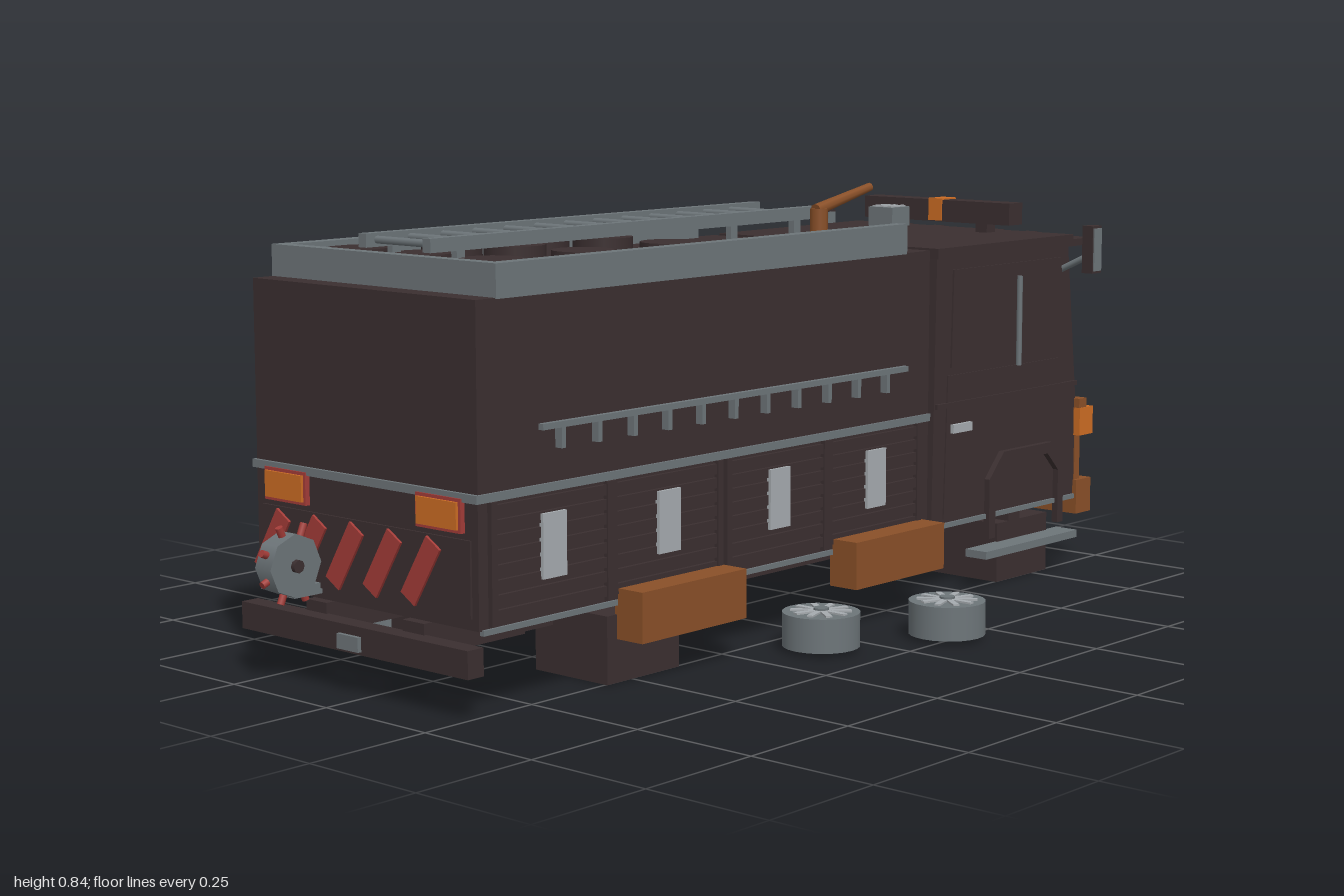
import * as THREE from 'three';

const mat = (name, color) => Object.assign(new THREE.MeshStandardMaterial({ color }), { name });

export function createModel() {
  const dark = mat('charcoal', 0x3b2f30), grey = mat('steel grey', 0x6d7579), pale = mat('pale grey', 0xa6abaf);
  const brown = mat('rust brown', 0x8a5028), orange = mat('lamp orange', 0xcc6c24), red = mat('red', 0xa33c38);

  const root = new THREE.Group();
  const truck = new THREE.Group();
  truck.name = 'truck';
  truck.position.x = -0.035;
  root.add(truck);

  const add = (name, geo, m, x, y, z, parent = truck) => {
    const mesh = new THREE.Mesh(geo, m);
    mesh.name = name;
    mesh.position.set(x, y, z);
    parent.add(mesh);
    return mesh;
  };
  // Box given by its limits on each axis
  const box = (name, m, x0, x1, y0, y1, z0, z1) =>
    add(name, new THREE.BoxGeometry(x1 - x0, y1 - y0, z1 - z0), m, (x0 + x1) / 2, (y0 + y1) / 2, (z0 + z1) / 2);
  // The same box on both sides
  const pair = (name, m, x0, x1, ...r) => {
    box(name + 'Left', m, x0, x1, ...r);
    box(name + 'Right', m, -x1, -x0, ...r);
  };
  // Side profile of [z, y] points extruded across x, from x0 to x1
  const profile = (name, m, pts, x0, x1, hole) => {
    const s = new THREE.Shape(pts.map(p => new THREE.Vector2(...p)));
    if (hole) s.holes.push(new THREE.Path(hole.map(p => new THREE.Vector2(...p))));
    const g = new THREE.ExtrudeGeometry(s, { depth: x1 - x0, bevelEnabled: false });
    g.rotateY(-Math.PI / 2);
    return add(name, g, m, x1, 0, 0);
  };
  // Straight bar between two points
  const bar = (name, m, a, b, r, r2 = r) => {
    const A = new THREE.Vector3(...a), B = new THREE.Vector3(...b);
    const d = B.clone().sub(A);
    const mesh = add(name, new THREE.CylinderGeometry(r2, r, d.length(), 8), m, 0, 0, 0);
    mesh.position.copy(A).add(B).multiplyScalar(0.5);
    mesh.quaternion.setFromUnitVectors(new THREE.Vector3(0, 1, 0), d.normalize());
    return mesh;
  };

  // Chassis
  pair('chassisRail', dark, 0.1, 0.155, 0.09, 0.145, -0.9, 0.88);
  for (const [z0, z1] of [[-0.8, -0.62], [0.375, 0.565]]) pair('wheelBlock', dark, 0.11, 0.29, 0, 0.125, z0, z1);
  pair('sillStrip', grey, 0.284, 0.293, 0.142, 0.152, -0.9, 0.87);
  box('rearBumper', dark, -0.297, 0.297, 0.075, 0.125, 0.875, 0.912);
  box('rearPlate', grey, -0.028, 0.028, 0.081, 0.108, 0.912, 0.92);
  bar('airTank', grey, [-0.225, 0.105, 0.2], [-0.225, 0.105, 0.36], 0.045);

  // Equipment body
  box('body', dark, -0.288, 0.288, 0.15, 0.714, -0.377, 0.876);
  box('waistStripe', grey, -0.293, 0.293, 0.37, 0.385, -0.378, 0.883);
  pair('roofRail', grey, 0.262, 0.29, 0.712, 0.772, -0.3, 0.83);
  box('rearRoofRail', grey, -0.27, 0.27, 0.712, 0.772, 0.805, 0.83);
  for (const x of [-0.21, -0.04, 0.135]) for (const z of [0.225, 0.46, 0.69])
    add('roofHatch', new THREE.CylinderGeometry(0.058, 0.058, 0.05, 16), dark, x, 0.737, z);

  // Roller shutters with pale handles
  for (const z of [0.705, 0.41, 0.1, -0.195]) {
    for (let i = 0; i < 8; i++) pair('shutterSlat', dark, 0.287, 0.295, 0.163 + i * 0.026, 0.182 + i * 0.026, z - 0.135, z + 0.135);
    for (const e of [-0.142, 0.142]) pair('shutterFrame', dark, 0.287, 0.298, 0.155, 0.37, z + e - 0.007, z + e + 0.007);
    pair('shutterHandle', pale, 0.292, 0.301, 0.22, 0.335, z - 0.029, z + 0.029);
  }

  // Side lockers
  for (const [z0, z1] of [[-0.35, -0.068], [0.258, 0.54]]) pair('locker', brown, 0.286, 0.352, 0.08, 0.173, z0, z1);

  // Pegged side rail
  box('sideRail', grey, 0.296, 0.307, 0.481, 0.492, -0.285, 0.738);
  for (let i = 0; i < 11; i++) {
    const z = 0.685 - i * 0.091;
    box('railPeg', grey, 0.287, 0.304, 0.444, 0.484, z - 0.005, z + 0.005);
  }

  // Roof ladder
  pair('ladderRail', grey, 0.073, 0.093, 0.775, 0.8, -0.277, 0.795);
  for (let i = 0; i < 13; i++) bar('ladderRung', grey, [-0.08, 0.788, -0.185 + i * 0.0795], [0.08, 0.788, -0.185 + i * 0.0795], 0.007);
  for (const z of [-0.2, 0.72]) pair('ladderFoot', grey, 0.076, 0.09, 0.712, 0.78, z - 0.01, z + 0.01);

  // Water monitor
  bar('monitorBase', brown, [0.138, 0.71, -0.21], [0.138, 0.8, -0.21], 0.018);
  bar('monitorBarrel', brown, [0.138, 0.797, -0.2], [0.138, 0.835, -0.372], 0.013, 0.009);

  // Rear face: lamps and slanted stripes
  for (const s of [-1, 1]) {
    box('rearLampFrame', red, s * 0.2 - 0.056, s * 0.2 + 0.056, 0.316, 0.376, 0.874, 0.886);
    box('rearLamp', orange, s * 0.2 - 0.05, s * 0.2 + 0.05, 0.322, 0.37, 0.885, 0.891);
  }
  box('rearPanel', dark, -0.272, 0.272, 0.17, 0.305, 0.874, 0.88);
  for (let i = 0; i < 5; i++)
    add('rearStripe', new THREE.BoxGeometry(0.04, 0.125, 0.006), red, -0.242 + i * 0.0985, 0.238, 0.882).rotation.z = -0.55;

  // Hose reel
  bar('hoseReel', grey, [-0.151, 0.22, 0.94], [-0.109, 0.22, 0.94], 0.058);
  bar('reelAxle', dark, [-0.16, 0.22, 0.94], [-0.1, 0.22, 0.94], 0.012);
  for (let i = 0; i < 4; i++) {
    const c = Math.cos(i * Math.PI / 4 + 0.39) * 0.075, s = Math.sin(i * Math.PI / 4 + 0.39) * 0.075;
    bar('reelSpoke', red, [-0.13, 0.22 - s, 0.931 - c], [-0.13, 0.22 + s, 0.931 + c], 0.007);
  }
  box('reelBracket', grey, -0.145, -0.115, 0.16, 0.18, 0.87, 0.94);

  // Cab
  profile('cab', dark, [[-0.392, 0.145], [-0.905, 0.145], [-0.905, 0.36], [-0.865, 0.712], [-0.402, 0.712]], -0.288, 0.288);
  box('cabRoof', dark, -0.292, 0.292, 0.695, 0.716, -0.88, -0.4);
  box('sunVisor', dark, -0.288, 0.288, 0.69, 0.705, -0.957, -0.86);
  for (const x of [0.08, 0.17]) pair('visorLamp', dark, x - 0.015, x + 0.015, 0.703, 0.715, -0.905, -0.875);
  for (const s of [-1, 1]) {
    const at = (name, m, pts, d, hole) => profile(name, m, pts, s > 0 ? 0.287 : -0.287 - d, s > 0 ? 0.287 + d : -0.287, hole);
    // Door, window and wheel arch
    at('door', dark, [[-0.43, 0.16], [-0.57, 0.16], [-0.57, 0.24], [-0.62, 0.29], [-0.85, 0.39], [-0.84, 0.455], [-0.44, 0.455]], 0.004);
    at('sideWindow', dark, [[-0.45, 0.47], [-0.865, 0.47], [-0.835, 0.67], [-0.455, 0.67]], 0.005);
    at('wheelArch', dark, [[-0.575, 0.1], [-0.575, 0.225], [-0.625, 0.278], [-0.8, 0.278], [-0.845, 0.225], [-0.845, 0.1],
      [-0.825, 0.1], [-0.825, 0.215], [-0.785, 0.255], [-0.64, 0.255], [-0.597, 0.215], [-0.597, 0.1]], 0.014);
    at('beltLine', dark, [[-0.4, 0.39], [-0.9, 0.39], [-0.9, 0.4], [-0.4, 0.4]], 0.008);
    bar('grabHandle', grey, [s * 0.298, 0.455, -0.677], [s * 0.298, 0.642, -0.677], 0.006);
    // Mirrors
    bar('mirrorArm', grey, [s * 0.285, 0.643, -0.845], [s * 0.35, 0.675, -0.85], 0.007);
    box('mirror', dark, s * 0.36 - 0.013, s * 0.36 + 0.013, 0.64, 0.74, -0.865, -0.832);
    box('mirrorGlass', grey, s * 0.36 + 0.012, s * 0.36 + 0.016, 0.645, 0.735, -0.862, -0.835);
  }
  pair('doorHandle', pale, 0.287, 0.299, 0.336, 0.354, -0.515, -0.45);
  pair('runningBoard', grey, 0.285, 0.338, 0.07, 0.086, -0.845, -0.515);
  pair('boardBracket', dark, 0.15, 0.29, 0.086, 0.145, -0.7, -0.66);

  // Windscreen following the slope of the cab front
  const screen = add('windscreen', new THREE.BoxGeometry(0.52, 0.29, 0.008), dark, 0, 0.53, -0.887);
  screen.rotation.x = 0.113;

  // Roof light bar and vent
  box('lightBar', dark, -0.195, 0.195, 0.735, 0.782, -0.828, -0.78);
  box('lightBarLamp', orange, -0.018, 0.018, 0.737, 0.785, -0.83, -0.778);
  pair('lightBarFoot', dark, 0.1, 0.13, 0.71, 0.74, -0.82, -0.79);
  box('roofVentStem', grey, -0.015, 0.015, 0.71, 0.74, -0.63, -0.6);
  box('roofVent', grey, -0.032, 0.032, 0.735, 0.776, -0.645, -0.585);
  for (const x of [-0.02, 0, 0.02]) box('ventFin', pale, x - 0.005, x + 0.005, 0.775, 0.779, -0.64, -0.59);

  // Grille, headlamps, bumper and winch
  box('grilleBar', brown, -0.302, 0.302, 0.335, 0.36, -0.928, -0.9);
  for (const x of [0.05, 0.15, 0.282]) pair('grillePost', brown, x - 0.008, x + 0.008, 0.18, 0.34, -0.922, -0.903);
  pair('headlampHousing', dark, 0.18, 0.26, 0.2, 0.29, -0.925, -0.9);
  pair('headlamp', orange, 0.19, 0.25, 0.235, 0.28, -0.931, -0.924);
  pair('cornerLamp', orange, 0.288, 0.304, 0.28, 0.34, -0.95, -0.9);
  box('frontBumper', brown, -0.298, 0.298, 0.108, 0.182, -0.955, -0.9);
  box('winch', grey, -0.068, 0.068, 0.19, 0.245, -1, -0.957);
  box('winchMount', grey, -0.08, 0.08, 0.125, 0.192, -0.967, -0.93);
  for (const s of [-1, 1]) bar('towHook', red, [s * 0.13, 0.13, -0.95], [s * 0.13, 0.13, -0.973], 0.017);

  // Loose wheels lying on the ground
  for (const [x, z] of [[-0.484, -0.328], [0.479, -0.143], [0.362, 0.095], [-0.373, 0.519]]) {
    const w = new THREE.Group();
    w.name = 'looseWheel';
    w.position.set(x, 0, z);
    root.add(w);
    add('tyre', new THREE.CylinderGeometry(0.074, 0.074, 0.065, 24), grey, 0, 0.04, 0, w);
    add('hub', new THREE.CylinderGeometry(0.015, 0.015, 0.008, 12), grey, 0, 0.076, 0, w);
    for (let i = 0; i < 10; i++) {
      const a = i * Math.PI / 5;
      add('spoke', new THREE.BoxGeometry(0.044, 0.004, 0.012), pale, Math.cos(a) * 0.036, 0.074, -Math.sin(a) * 0.036, w).rotation.y = a;
    }
  }
  return root;
}
